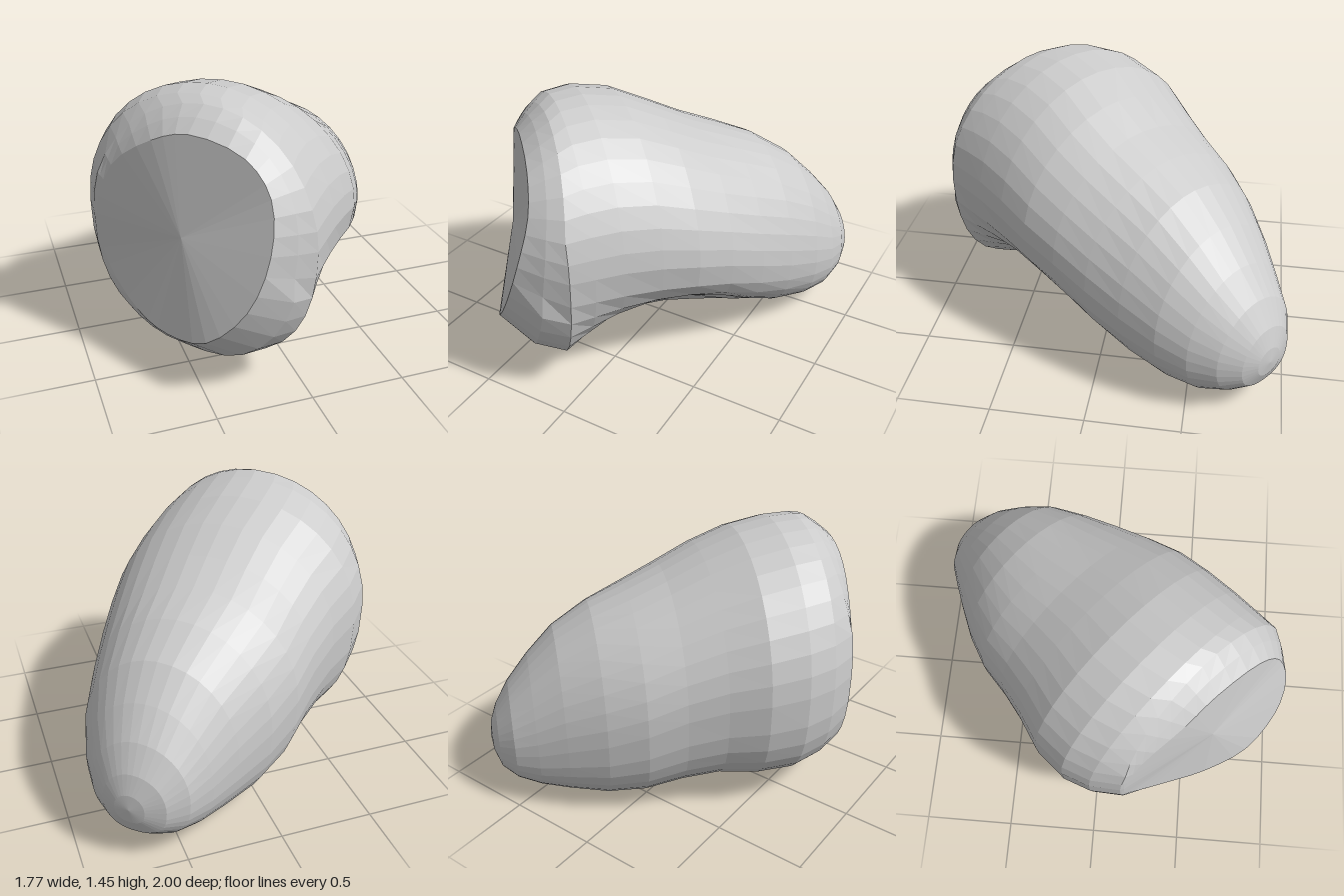
import * as THREE from 'three';

const SEGMENTS = 36;

// Local frame: u across the body, y up, t along it from the blunt end to the tip
const place = (t, u, y) => new THREE.Vector3(0.65 * t + 0.76 * u, y, -0.76 * t + 0.65 * u);

// Skin a list of closed rings
function loft(name, rings) {
  const positions = [];
  const index = [];
  rings.forEach(ring => ring.forEach(p => positions.push(p.x, p.y, p.z)));
  for (let i = 0; i < rings.length - 1; i++) {
    for (let j = 0; j < SEGMENTS; j++) {
      const k = (j + 1) % SEGMENTS;
      const a = i * SEGMENTS + j, b = i * SEGMENTS + k;
      const c = a + SEGMENTS, d = b + SEGMENTS;
      index.push(a, c, b, b, c, d);
    }
  }
  const geometry = new THREE.BufferGeometry();
  geometry.setAttribute('position', new THREE.Float32BufferAttribute(positions, 3));
  geometry.setIndex(index);
  geometry.computeVertexNormals();
  const mesh = new THREE.Mesh(geometry, new THREE.MeshStandardMaterial({ color: 0xcccccc, flatShading: true }));
  mesh.name = name;
  return mesh;
}

// Round above, squarer below; hollow pulls in the lower +u quarter, mostly near the bottom
function section([t, uMin, uMax, yMin, yMax, yMid, hollow]) {
  const uMid = (uMin + uMax) / 2, half = (uMax - uMin) / 2;
  return Array.from({ length: SEGMENTS }, (_, j) => {
    const angle = j / SEGMENTS * Math.PI * 2;
    const cos = Math.cos(angle), sin = Math.sin(angle);
    const power = sin > 0 ? (cos > 0 ? 1.03 : 0.97) : (cos > 0 ? 0.88 : 0.79);
    const soft = v => Math.sign(v) * Math.abs(v) ** power;
    const c = soft(cos), s = soft(sin);
    const down = Math.max(0, 4 * (1 - angle / (2 * Math.PI)));
    const pull = down < 1 ? 1 - hollow * Math.sin(Math.PI * down ** 1.3) ** 1.5 : 1;
    return place(t, uMid + half * c * pull, yMid + (s > 0 ? yMax - yMid : yMid - yMin) * s * pull);
  });
}

export function createModel() {
  const group = new THREE.Group();

  // Body sections: t, uMin, uMax, yMin, yMax, yMid, hollow
  const bodyRings = [
    [-0.68, -0.58, 0.63, 0.13, 1.42, 0.78, -0.06],
    [-0.55, -0.68, 0.63, 0.10, 1.445, 0.78, 0.05],
    [-0.40, -0.735, 0.63, 0.07, 1.45, 0.78, 0.17],
    [-0.20, -0.735, 0.63, 0.07, 1.41, 0.76, 0.26],
    [0.00, -0.675, 0.625, 0.08, 1.32, 0.72, 0.28],
    [0.20, -0.63, 0.59, 0.05, 1.22, 0.66, 0.23],
    [0.40, -0.60, 0.545, 0.01, 1.135, 0.58, 0.15],
    [0.60, -0.53, 0.49, 0.00, 1.05, 0.50, 0.08],
    [0.80, -0.43, 0.425, 0.02, 0.92, 0.43, 0.03],
    [0.95, -0.35, 0.345, 0.05, 0.77, 0.37, 0],
    [1.07, -0.28, 0.25, 0.10, 0.63, 0.34, 0],
    [1.15, -0.19, 0.15, 0.16, 0.50, 0.32, 0],
    [1.185, -0.09, 0.07, 0.24, 0.40, 0.32, 0],
    [1.195, -0.01, -0.01, 0.32, 0.32, 0.32, 0],
  ].map(section);
  // The top of the rim leans back
  const rim = bodyRings[0];
  rim.forEach(p => p.add(place(0.15 * Math.max(0, p.y - 1), 0, 0)));
  group.add(loft('body', bodyRings));

  // Warped outline of the end face: t, u, y
  const outline = new THREE.CatmullRomCurve3([
    [-0.90, 0.47, 0.83], [-0.82, 0.44, 1.08], [-0.78, 0.30, 1.24], [-0.75, 0, 1.31],
    [-0.74, -0.20, 1.25], [-0.70, -0.45, 1.07], [-0.69, -0.56, 0.78], [-0.70, -0.50, 0.50],
    [-0.78, -0.30, 0.31], [-0.89, -0.08, 0.28], [-0.975, 0.17, 0.34], [-0.965, 0.38, 0.55],
  ].map(p => place(...p)), true);
  const edge = Array.from({ length: SEGMENTS }, (_, j) => outline.getPoint(j / SEGMENTS));

  // Swelling band between the end face and the body, fullest at the bottom
  const centre = place(-0.82, -0.02, 0.8);
  const swell = edge.map((p, j) => {
    const middle = p.clone().lerp(rim[j], 0.5);
    const width = p.distanceTo(rim[j]);
    const outward = middle.clone().sub(centre).normalize();
    return middle.addScaledVector(outward, width * (middle.y < 0.6 ? 0.14 : 0.05));
  });
  group.add(loft('endBevel', [edge, swell, rim]));

  // Saddle-shaped end face
  const faceRings = [0, 0.35, 0.7, 1].map(f => edge.map(p => centre.clone().lerp(p, f)));
  group.add(loft('endFace', faceRings));

  // Centre the model and stand it on the ground
  const box = new THREE.Box3().setFromObject(group);
  const middle = box.getCenter(new THREE.Vector3());
  group.children.forEach(m => m.geometry.translate(-middle.x, -box.min.y, -middle.z));
  return group;
}
